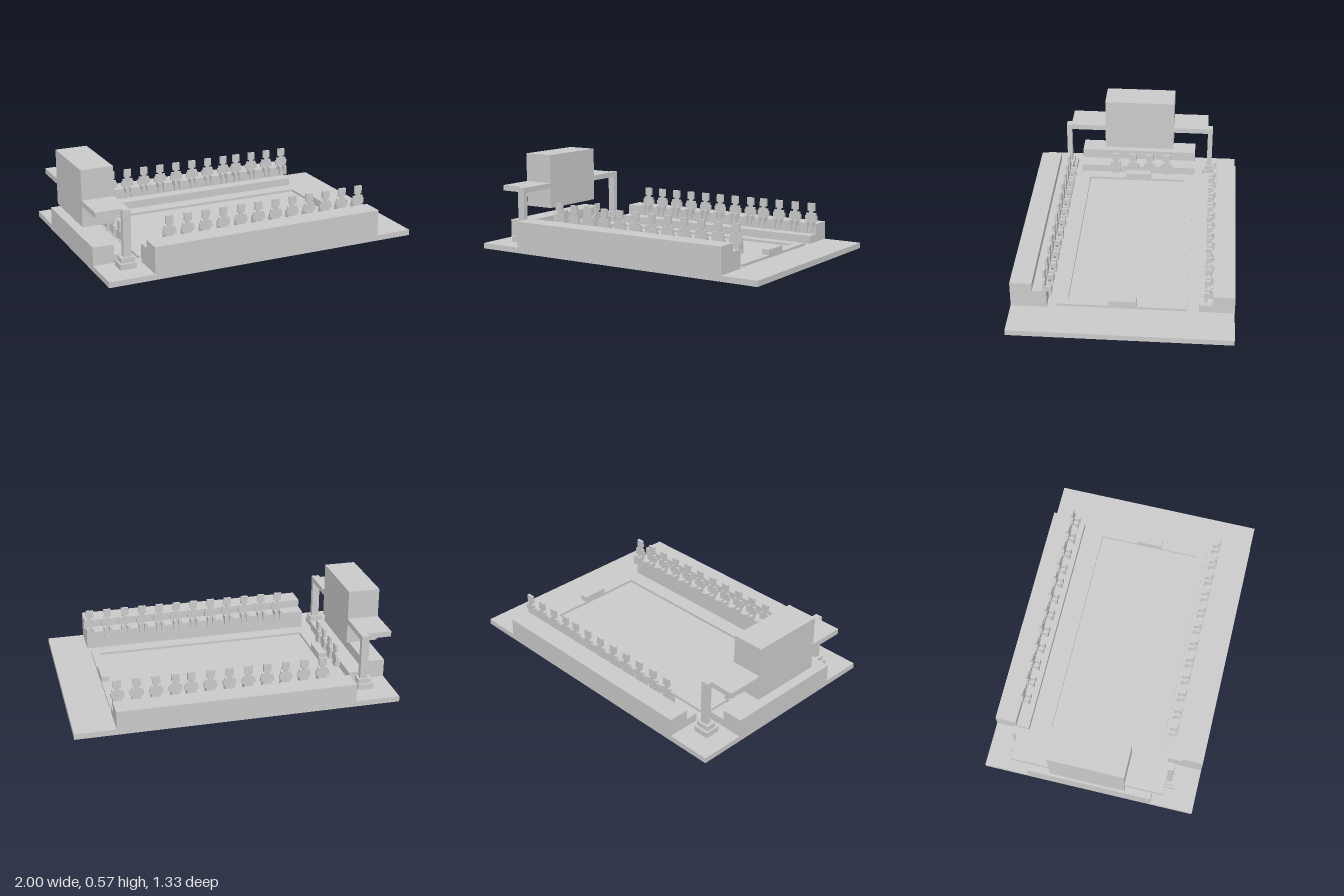
import * as THREE from 'three';

const material = new THREE.MeshStandardMaterial({ color: 0xcccccc, flatShading: true });

// Box given by its limits on each axis
function box(parent, name, [x0, x1], [y0, y1], [z0, z1]) {
  const mesh = new THREE.Mesh(new THREE.BoxGeometry(x1 - x0, y1 - y0, z1 - z0), material);
  mesh.position.set((x0 + x1) / 2, (y0 + y1) / 2, (z0 + z1) / 2);
  mesh.name = name;
  parent.add(mesh);
  return mesh;
}

// Flat cut-out of hips, arms, neck and head, mirrored about its middle
function bodyGeometry() {
  const half = [[0.027, 0], [0.027, 0.036], [0.041, 0.036], [0.041, 0.07], [0.033, 0.07],
    [0.033, 0.086], [0.012, 0.086], [0.012, 0.1], [0.024, 0.1], [0.024, 0.15]];
  const mirrored = half.map(([x, y]) => [-x, y]).reverse();
  const shape = new THREE.Shape([...half, ...mirrored].map(([x, y]) => new THREE.Vector2(x, y)));
  const geometry = new THREE.ExtrudeGeometry(shape, { depth: 0.016, bevelEnabled: false });
  return geometry.translate(0, 0, -0.016);
}

// Seated figure facing +z, seat at y = 0
function makeSpectator(geometry) {
  const spectator = new THREE.Group();
  spectator.name = 'spectator';
  const body = new THREE.Mesh(geometry, material);
  body.name = 'body';
  spectator.add(body);
  for (const side of [-1, 1]) {
    const x = [side * 0.018 - 0.009, side * 0.018 + 0.009];
    box(spectator, 'thigh', x, [0, 0.034], [-0.002, 0.034]);
    box(spectator, 'shin', x, [-0.03, 0], [0.018, 0.034]);
  }
  return spectator;
}

export function createModel() {
  const model = new THREE.Group();
  model.name = 'smallStadium';

  box(model, 'ground', [-1, 1], [0, 0.035], [-0.667, 0.667]);

  // Raised rim around the pitch
  const rim = new THREE.Shape();
  rim.moveTo(-0.72, -0.395).lineTo(0.75, -0.395).lineTo(0.75, 0.385).lineTo(-0.72, 0.385).closePath();
  const pitch = new THREE.Path();
  pitch.moveTo(-0.67, -0.33).lineTo(-0.67, 0.32).lineTo(0.7, 0.32).lineTo(0.7, -0.33).closePath();
  rim.holes.push(pitch);
  const rimGeometry = new THREE.ExtrudeGeometry(rim, { depth: 0.017, bevelEnabled: false });
  const rimMesh = new THREE.Mesh(rimGeometry.rotateX(-Math.PI / 2), material);
  rimMesh.position.y = 0.034;
  rimMesh.name = 'pitchRim';
  model.add(rimMesh);

  // Goals at both ends
  box(model, 'goal', [0.7, 0.75], [0.034, 0.085], [-0.083, 0.083]);
  box(model, 'goal', [-0.72, -0.67], [0.034, 0.085], [-0.083, 0.083]);

  // Stepped stands
  box(model, 'frontStandUpper', [-0.72, 0.765], [0.03, 0.2], [0.535, 0.667]);
  box(model, 'frontStandLower', [-0.72, 0.765], [0.03, 0.15], [0.45, 0.535]);
  box(model, 'backStandUpper', [-0.72, 0.75], [0.03, 0.15], [-0.667, -0.535]);
  box(model, 'backStandLower', [-0.72, 0.75], [0.03, 0.085], [-0.535, -0.455]);
  box(model, 'endStandUpper', [-1, -0.87], [0.03, 0.15], [-0.385, 0.4]);
  box(model, 'endStandLower', [-0.87, -0.77], [0.03, 0.085], [-0.385, 0.4]);

  // Scoreboard with its side canopies, columns and stepped feet
  box(model, 'scoreboard', [-1, -0.8], [0.22, 0.57], [-0.235, 0.235]);
  for (const s of [-1, 1]) {
    const span = (a, b) => [Math.min(s * a, s * b), Math.max(s * a, s * b)];
    box(model, 'canopy', [-1, -0.8], [0.35, 0.385], span(0.235, 0.47));
    box(model, 'column', [-0.848, -0.8], [0.1, 0.385], span(0.47, 0.503));
    box(model, 'columnFootUpper', [-0.868, -0.785], [0.07, 0.1], span(0.455, 0.517));
    box(model, 'columnFootLower', [-0.88, -0.78], [0.034, 0.07], span(0.437, 0.533));
  }

  // Rows of spectators
  const geometry = bodyGeometry();
  const seat = (x, y, z, turn) => {
    const spectator = makeSpectator(geometry);
    spectator.position.set(x, y, z);
    spectator.rotation.y = turn;
    model.add(spectator);
  };
  for (let i = 0; i < 12; i++) {
    const x = -0.544 + i * 0.1167;
    seat(x, 0.15, 0.453, Math.PI);
    seat(i < 8 ? x : x - 0.02, 0.135, -0.52, 0);
  }
  for (let i = 0; i < 4; i++) seat(-0.751, 0.05, 0.16 - i * 0.1175, -Math.PI / 2);

  return model;
}
